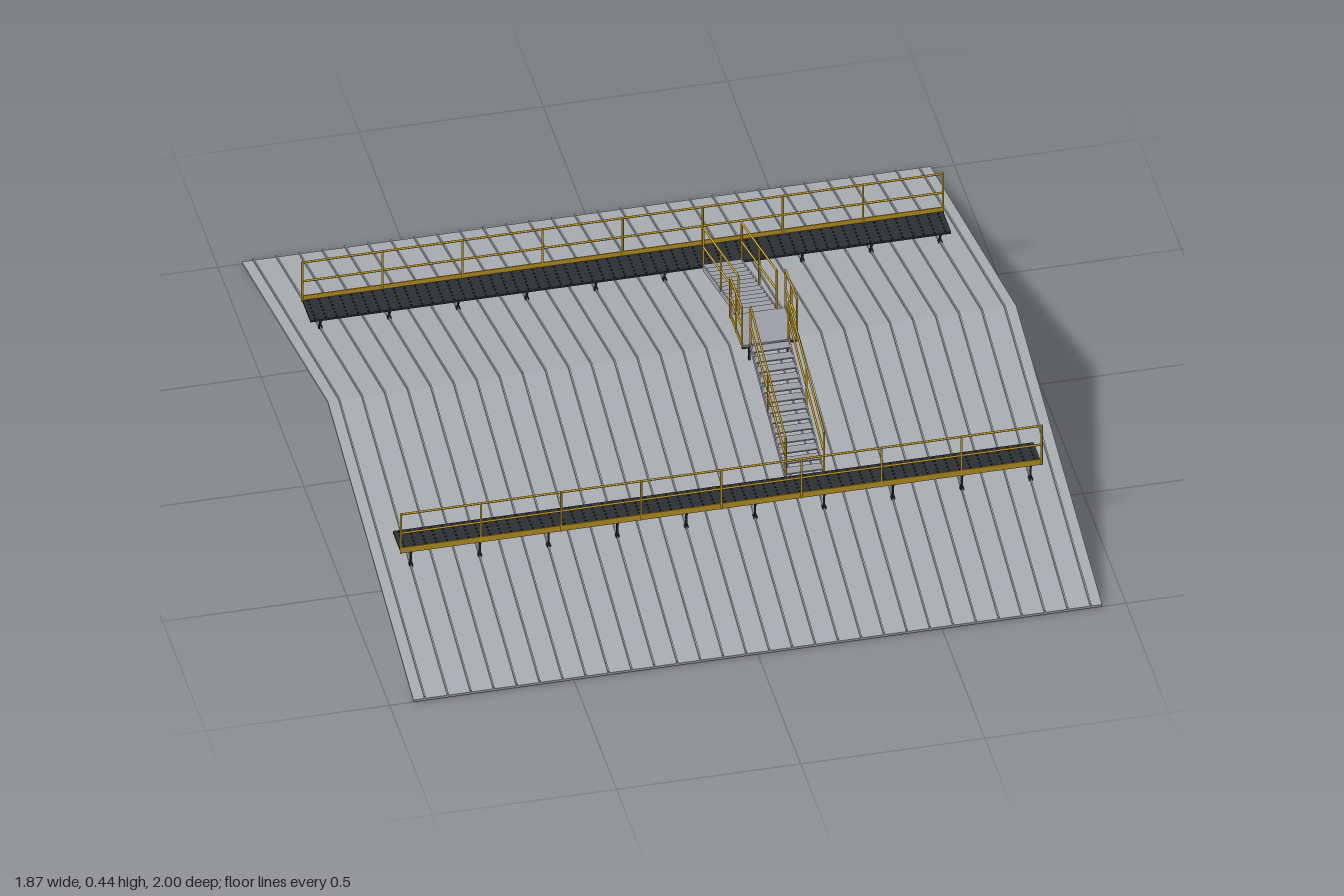
import * as THREE from 'three';

const mat = (name, color) => Object.assign(new THREE.MeshStandardMaterial({ color }), { name });

export function createModel() {
  const root = new THREE.Group();
  root.name = 'roofWalkway';
  const roofGrey = mat('roofGrey', 0xa9adb2);
  const steel = mat('steelGrey', 0x9a9da5);
  const grating = mat('gratingDark', 0x2b3032);
  const yellow = mat('safetyYellow', 0xc9a227);

  const add = (parent, name, geo, material, x = 0, y = 0, z = 0) => {
    const m = new THREE.Mesh(geo, material);
    m.name = name;
    m.position.set(x, y, z);
    parent.add(m);
    return m;
  };
  const box = (parent, name, material, w, h, d, x, y, z) =>
    add(parent, name, new THREE.BoxGeometry(w, h, d), material, x, y, z);
  const group = (name) => {
    const g = new THREE.Group();
    g.name = name;
    root.add(g);
    return g;
  };
  // Round bar between two points
  const bar = (parent, name, a, b, r = 0.003, material = yellow) => {
    const p = new THREE.Vector3(...a), q = new THREE.Vector3(...b);
    const dir = q.clone().sub(p);
    const m = add(parent, name, new THREE.CylinderGeometry(r, r, dir.length(), 8), material);
    m.position.copy(p).add(q).multiplyScalar(0.5);
    m.quaternion.setFromUnitVectors(new THREE.Vector3(0, 1, 0), dir.normalize());
  };

  // Gable roof: a chevron profile swept along x
  const chevron = (y0, y1, width) => {
    const rise = 0.262;
    const s = new THREE.Shape([[-1, y0], [0, y0 + rise], [1, y0], [1, y1], [0, y1 + rise], [-1, y1]]
      .map(([x, y]) => new THREE.Vector2(x, y)));
    return new THREE.ExtrudeGeometry(s, { depth: width, bevelEnabled: false })
      .translate(0, 0, -width / 2).rotateY(Math.PI / 2);
  };
  const roof = group('roof');
  add(roof, 'roofSheet', chevron(0, 0.007, 1.87), roofGrey);
  const rib = chevron(0.004, 0.013, 0.004);
  for (let i = 0; i < 30; i++) add(roof, 'standingSeam', rib, roofGrey, -0.904 + i * 1.808 / 29);

  // One perforated grating panel, reused along both walkways
  const panelW = 0.174, panelD = 0.094;
  const panel = new THREE.Shape([[0, 0], [panelW, 0], [panelW, panelD], [0, panelD]]
    .map(([x, y]) => new THREE.Vector2(x, y)));
  for (let i = 0; i < 6; i++) {
    for (let j = 0; j < 6; j++) {
      const x = (i + 0.5) * panelW / 6, y = (j + 0.5) * panelD / 6, r = 0.0025;
      panel.holes.push(new THREE.Path([[x - r, y - r], [x - r, y + r], [x + r, y + r], [x + r, y - r]]
        .map(([u, v]) => new THREE.Vector2(u, v))));
    }
  }
  const panelGeo = new THREE.ExtrudeGeometry(panel, { depth: 0.006, bevelEnabled: false })
    .translate(-panelW / 2, -panelD / 2, -0.003).rotateX(-Math.PI / 2);

  const roofY = (z) => 0.269 - 0.262 * Math.abs(z);

  for (const s of [1, -1]) {
    // Walkway deck, legs and outer guard rail
    const walk = group(s > 0 ? 'frontWalkway' : 'backWalkway');
    for (let i = 0; i < 10; i++) {
      add(walk, 'gratingPanel', panelGeo, grating, -0.783 + i * 0.174, 0.174, s * 0.527);
      const x = -0.841 + i * 0.187;
      for (const z of [0.49, 0.565]) {
        const base = roofY(z);
        box(walk, 'leg', grating, 0.005, 0.172 - base, 0.005, x, (0.172 + base) / 2, s * z);
        box(walk, 'foot', grating, 0.01, 0.008, 0.012, x, base + 0.004, s * z);
      }
      box(walk, 'crossBearer', grating, 0.006, 0.006, 0.09, x, 0.168, s * 0.527);
    }
    box(walk, 'toeBoard', yellow, 1.744, 0.018, 0.003, 0, 0.182, s * 0.575);
    for (let i = 0; i <= 8; i++) {
      const x = -0.87 + i * 0.2175;
      bar(walk, 'railPost', [x, 0.172, s * 0.575], [x, 0.302, s * 0.575]);
    }
    for (const y of [0.238, 0.3]) bar(walk, 'guardRail', [-0.87, y, s * 0.575], [0.87, y, s * 0.575]);

    // Stair from walkway to ridge platform
    const stair = group(s > 0 ? 'frontStair' : 'backStair');
    const zA = 0.48, zB = 0.07, dy = 0.138;
    const len = Math.hypot(zA - zB, dy), tilt = Math.atan2(dy, zA - zB);
    for (const x of [0.197, 0.301]) {
      const st = box(stair, 'stringer', steel, 0.004, 0.018, len, x, 0.242, s * (zA + zB) / 2);
      st.rotation.x = s * tilt;
      for (const t of [0, 0.5, 1]) {
        const z = s * (zA + (zB - zA) * t), y = 0.172 + dy * t;
        bar(stair, 'railPost', [x, y, z], [x, y + 0.13, z]);
      }
      for (const h of [0.24, 0.302]) {
        bar(stair, 'handRail', [x, h, s * zA], [x, h + dy, s * zB]);
      }
    }
    for (let i = 0; i < 13; i++) {
      const t = (i + 0.5) / 13;
      box(stair, 'tread', steel, 0.1, 0.004, 0.028, 0.249, 0.177 + dy * t, s * (zA + (zB - zA) * t));
    }
  }

  // Ridge platform with side rails
  const plat = group('ridgePlatform');
  box(plat, 'platformDeck', steel, 0.15, 0.006, 0.14, 0.249, 0.313, 0);
  for (const x of [0.174, 0.324]) {
    box(plat, 'toeBoard', yellow, 0.003, 0.014, 0.14, x, 0.319, 0);
    for (const z of [-0.068, 0, 0.068]) bar(plat, 'railPost', [x, 0.31, z], [x, 0.442, z]);
    for (const y of [0.378, 0.44]) bar(plat, 'guardRail', [x, y, -0.068], [x, y, 0.068]);
    // Short rails joining the platform guard to the stair hand rails
    const inner = x < 0.25 ? 0.197 : 0.301;
    for (const z of [-0.068, 0.068]) {
      box(plat, 'platformLeg', grating, 0.005, 0.055, 0.005, inner, 0.283, z * 0.81);
    }
  }
  for (const z of [-0.068, 0.068]) {
    box(plat, 'edgeBeam', grating, 0.15, 0.008, 0.004, 0.249, 0.308, z);
  }
  return root;
}
